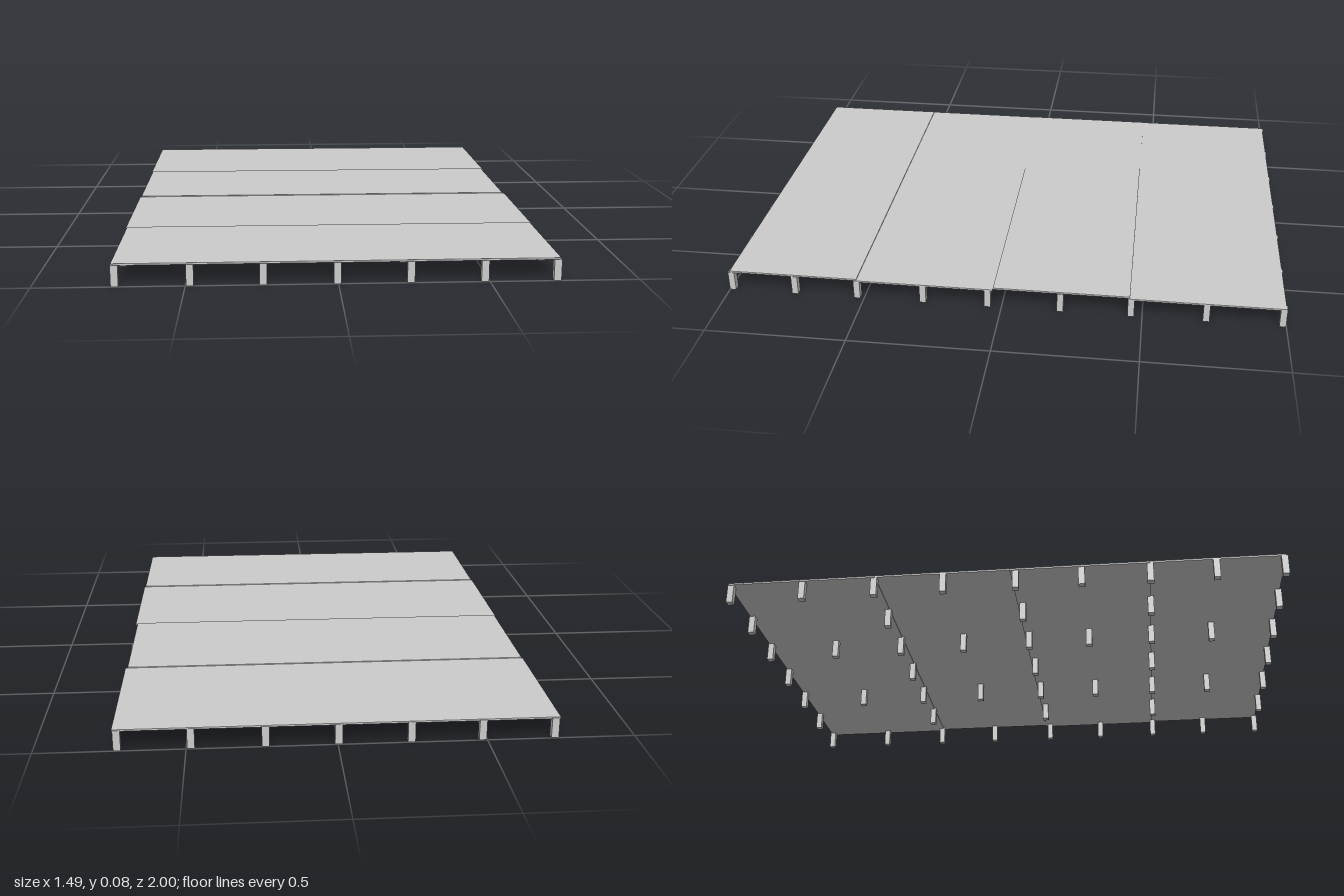
import * as THREE from 'three';

export function createModel() {
  const model = new THREE.Group();
  const material = new THREE.MeshStandardMaterial({ color: 0xcccccc, flatShading: true });

  function box(name, x0, x1, y0, y1, z0, z1) {
    const mesh = new THREE.Mesh(new THREE.BoxGeometry(x1 - x0, y1 - y0, z1 - z0), material);
    mesh.position.set((x0 + x1) / 2, (y0 + y1) / 2, (z0 + z1) / 2);
    mesh.name = name;
    model.add(mesh);
  }

  // Four deck panels, alternately a little higher and lower: x0, x1, top, z0, z1
  const panels = [
    [-0.74, 0.735, 0.077, 0.525, 0.995],
    [-0.745, 0.74, 0.074, 0.03, 0.525],
    [-0.74, 0.732, 0.077, -0.455, 0.03],
    [-0.745, 0.74, 0.074, -0.995, -0.455],
  ];
  for (const [x0, x1, top, z0, z1] of panels) box('deckPanel', x0, x1, top - 0.006, top, z0, z1);

  // Support posts: full rows at the panel seams, every other post in between
  const xs = [-0.729, -0.485, -0.246, -0.003, 0.239, 0.484, 0.725];
  const zs = [0.989, 0.755, 0.525, 0.284, 0.05, -0.21, -0.46, -0.723, -0.987];
  zs.forEach((z, row) => {
    xs.forEach((x, column) => {
      if (row % 2 === 1 && column % 2 === 1) return;
      box('supportPost', x - 0.0125, x + 0.0125, 0, 0.072, z - 0.0115, z + 0.0115);
    });
  });

  return model;
}
